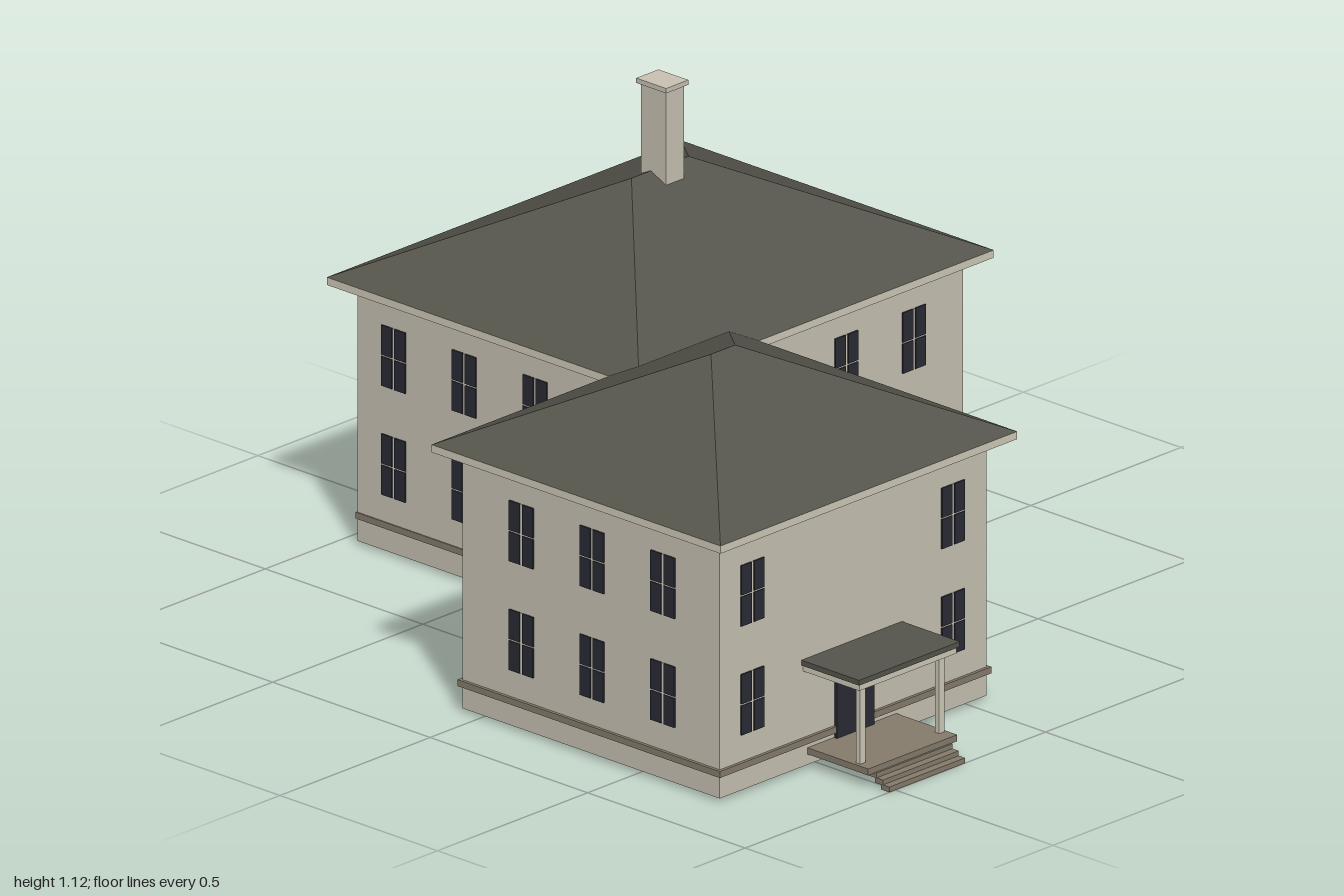
import * as THREE from 'three';
import { mergeGeometries } from 'three/addons/utils/BufferGeometryUtils.js';

const mat = (name, color) => {
  const m = new THREE.MeshStandardMaterial({ color });
  m.name = name;
  return m;
};

export function createModel() {
  const wall = mat('stone wall', 0xc9c2b4);
  const trim = mat('pale trim', 0xcfcbba);
  const slate = mat('dark slate', 0x55554c);
  const brown = mat('brown stone', 0x857c6c);
  const glass = mat('dark glass', 0x2a2b34);

  const model = new THREE.Group();
  model.name = 'house';
  const add = (name, geo, material, parent = model) => {
    const m = new THREE.Mesh(geo, material);
    m.name = name;
    parent.add(m);
    return m;
  };
  // Box given by its limits on each axis
  const box = (name, material, x0, x1, y0, y1, z0, z1, parent) => {
    const g = new THREE.BoxGeometry(x1 - x0, y1 - y0, z1 - z0);
    g.translate((x0 + x1) / 2, (y0 + y1) / 2, (z0 + z1) / 2);
    return add(name, g, material, parent);
  };
  // Rectangular ring, open above and below
  const ring = (name, material, x0, x1, y0, y1, z0, z1, t, parent) => {
    const rect = (C, d) => {
      const s = new C();
      s.moveTo(x0 + d, -z1 + d);
      s.lineTo(x1 - d, -z1 + d);
      s.lineTo(x1 - d, -z0 - d);
      s.lineTo(x0 + d, -z0 - d);
      s.closePath();
      return s;
    };
    const shape = rect(THREE.Shape, 0);
    shape.holes.push(rect(THREE.Path, t));
    const g = new THREE.ExtrudeGeometry(shape, { depth: y1 - y0, bevelEnabled: false });
    g.rotateX(-Math.PI / 2);
    g.translate(0, y0, 0);
    return add(name, g, material, parent);
  };
  // Hipped roof with a ridge along x
  const hipRoof = (x0, x1, z0, z1, y0, y1, r0, r1, zr, parent) => {
    const a = [x0, y0, z1], b = [x1, y0, z1], c = [x1, y0, z0], d = [x0, y0, z0];
    const e = [r0, y1, zr], f = [r1, y1, zr];
    const tris = [a, b, f, a, f, e, b, c, f, c, d, e, c, e, f, d, a, e];
    const g = new THREE.BufferGeometry();
    g.setAttribute('position', new THREE.Float32BufferAttribute(tris.flat(), 3));
    g.computeVertexNormals();
    add('hipRoof', g, slate, parent);
  };

  // One wing: walls, belt course, eave and roof
  const wing = (name, x0, x1, z0, z1, belt, peak, r0, r1, zr) => {
    const g = new THREE.Group();
    g.name = name;
    model.add(g);
    const o = 0.05;
    ring('walls', wall, x0, x1, 0.01, 0.65, z0, z1, 0.004, g);
    ring('beltCourse', brown, x0 - belt, x1 + belt, 0.065, 0.081, z0 - belt, z1 + belt, belt + 0.002, g);
    box('eave', trim, x0 - o, x1 + o, 0.643, 0.662, z0 - o, z1 + o, g);
    hipRoof(x0 - o, x1 + o, z0 - o, z1 + o, 0.662, peak, r0, r1, zr, g);
  };
  wing('frontWing', -0.835, 0.053, -0.055, 0.762, 0.008, 0.88, -0.432, -0.352, 0.35);
  wing('backWing', -0.245, 0.835, -0.95, -0.058, 0.003, 0.9, 0.2, 0.39, -0.505);

  // Window: pale backing plate with four dark panes
  const w = 0.076, h = 0.15;
  const backing = new THREE.BoxGeometry(w - 0.002, h - 0.002, 0.003);
  const panes = mergeGeometries([-1, 1].flatMap((sx) => [-1, 1].map((sy) => {
    const p = new THREE.BoxGeometry(w / 2 - 0.004, h / 2 - 0.002, 0.004);
    p.translate(sx * (w / 4 + 0.002), sy * (h / 4 + 0.001), 0.002);
    return p;
  })));
  const windowRow = (cols, place, angle) => {
    for (const c of cols) for (const y of [0.222, 0.491]) {
      const g = new THREE.Group();
      g.name = 'window';
      const [x, z] = place(c);
      g.position.set(x, y, z);
      g.rotation.y = angle;
      add('muntins', backing, trim, g);
      add('panes', panes, glass, g);
      model.add(g);
    }
  };
  const R = Math.PI / 2;
  const three = [0.134, 0.358, 0.583], four = [-0.16, -0.385, -0.61, -0.834];
  windowRow([-0.728, -0.06], (c) => [c, 0.762], 0);
  windowRow([0.22, 0.445, 0.67], (c) => [c, -0.058], 0);
  windowRow(three, (c) => [0.053, c], R);
  windowRow(three, (c) => [-0.835, c], -R);
  windowRow(four, (c) => [0.835, c], R);
  windowRow(four, (c) => [-0.245, c], -R);
  windowRow([-0.43, -0.655], (c) => [c, -0.055], Math.PI);
  windowRow([-0.043, 0.183, 0.408, 0.633], (c) => [c, -0.95], Math.PI);

  // Chimney
  box('chimney', wall, 0.265, 0.325, 0.85, 1.11, -0.537, -0.457);
  box('chimneyCap', wall, 0.258, 0.332, 1.108, 1.12, -0.545, -0.45);

  // Entrance porch
  const porch = new THREE.Group();
  porch.name = 'porch';
  model.add(porch);
  box('door', glass, -0.455, -0.33, 0.05, 0.21, 0.764, 0.772, porch);
  box('deck', brown, -0.543, -0.247, 0.036, 0.052, 0.75, 0.955, porch);
  for (const x of [-0.525, -0.262]) {
    box('post', trim, x - 0.009, x + 0.009, 0.05, 0.247, 0.907, 0.921, porch);
  }
  box('porchFascia', trim, -0.557, -0.233, 0.245, 0.262, 0.75, 0.94, porch);
  box('porchRoof', slate, -0.563, -0.228, 0.261, 0.274, 0.75, 0.945, porch);
  for (let i = 0; i < 3; i++) {
    const z = 1 - i * 0.02, y = i * 0.012;
    box('step', brown, -0.52, -0.268, y, y + 0.013, z - 0.026, z, porch);
  }
  return model;
}
